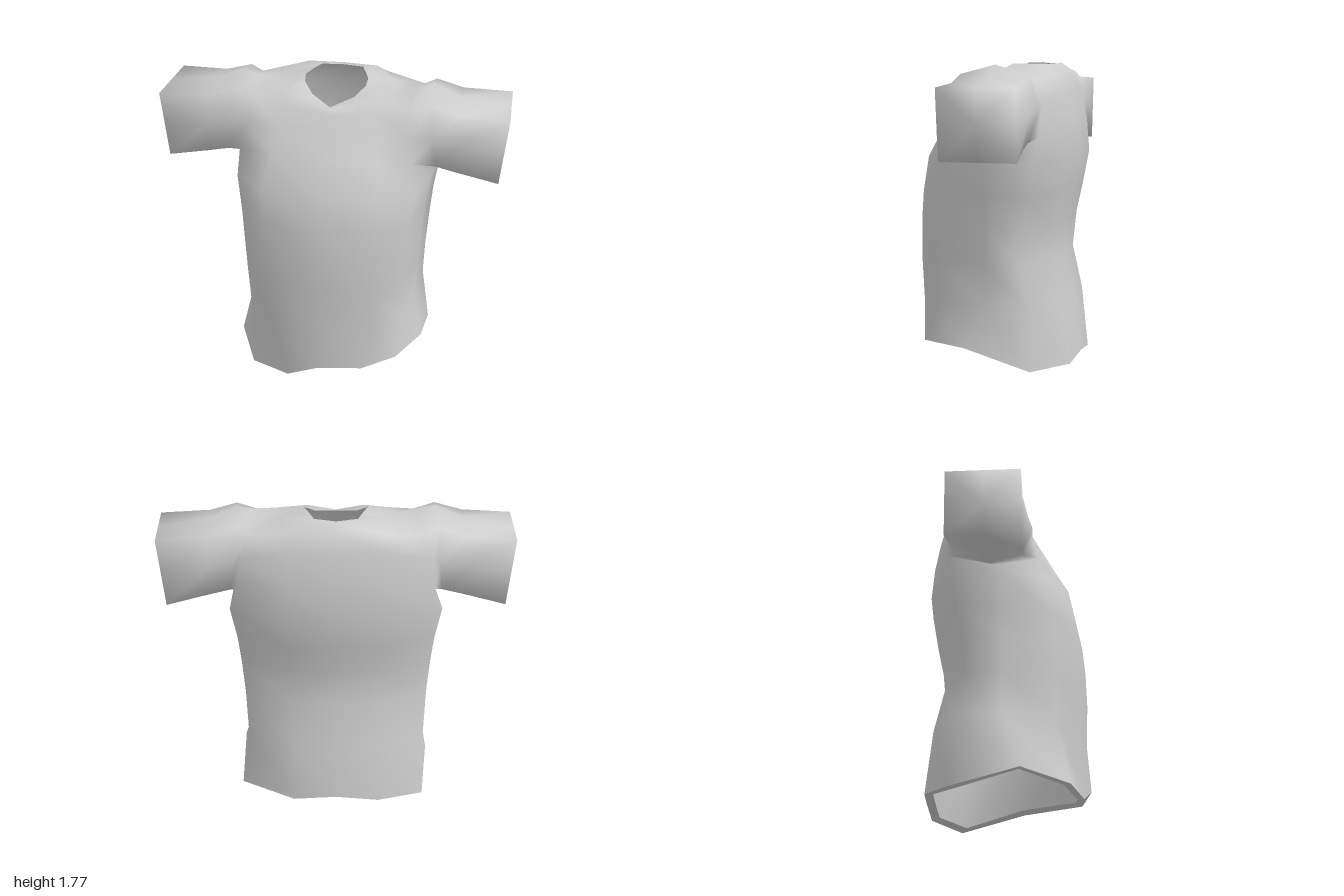
import * as THREE from 'three';

const COLUMNS = 12;

// Complete a half ring (front centre to back centre) on the other side.
const mirrorRing = (half) => [
  ...half,
  ...half.slice(1, -1).reverse().map(([x, y, z]) => [-x, y, z]),
];

// Torso cross-section from height, half width, front z and back z.
const section = ([y, w, f, b]) => mirrorRing([
  [0, y, f], [0.58 * w, y, f - 0.045], [0.87 * w, y, f - 0.18], [0.96 * w, y, -0.03],
  [w, y, b + 0.14], [0.48 * w, y, b + 0.01], [0, y, b],
]);

// Triangles joining two closed loops of vertex numbers, except the skipped columns.
function bridge(index, lower, upper, skip = []) {
  lower.forEach((a, j) => {
    if (skip.includes(j)) return;
    const k = (j + 1) % lower.length;
    index.push(a, lower[k], upper[j], lower[k], upper[k], upper[j]);
  });
}

// Sleeve cross-section: eight points, square when corner is 1, rounder when less.
function sleeveRing({ top, bottom, yTop, yLow, front, back, corner: c }, side) {
  const yc = (yTop + yLow) / 2, h = (yTop - yLow) / 2;
  const zc = (front + back) / 2, d = (front - back) / 2;
  return [[1, 0], [c, c], [0, 1], [-c, c], [-1, 0], [-c, -c], [0, -1], [c, -c]].map(([v, u]) => [
    side * (THREE.MathUtils.lerp(bottom, top, (v + 1) / 2) + (u - 1) * 0.008),
    yc + v * h,
    zc + u * d,
  ]);
}

function makeMesh(points, index, material, name) {
  const geometry = new THREE.BufferGeometry();
  geometry.setAttribute('position', new THREE.Float32BufferAttribute(points.flat(), 3));
  geometry.setIndex(index);
  geometry.computeVertexNormals();
  const mesh = new THREE.Mesh(geometry, material);
  mesh.name = name;
  return mesh;
}

export function createModel() {
  const model = new THREE.Group();
  model.name = 'shirt';
  const cloth = new THREE.MeshStandardMaterial({ color: 0xcccccc, side: THREE.DoubleSide });
  cloth.name = 'light grey cloth';

  // Uneven hem, running from the front round the left side and back
  const hem = [
    [0, 0.14, 0.47], [0.25, 0.14, 0.425], [0.44, 0.19, 0.34], [0.56, 0.19, 0.08],
    [0.56, 0.08, -0.3], [0.25, 0.06, -0.46], [0, 0.08, -0.47], [-0.25, 0.05, -0.46],
    [-0.52, 0.0, -0.31], [-0.565, 0.09, 0.07], [-0.43, 0.04, 0.34], [-0.2, 0.03, 0.42],
  ];

  // Torso body
  const body = [
    [0.42, 0.515, 0.45, -0.43],
    [0.67, 0.53, 0.46, -0.37],
    [0.88, 0.545, 0.455, -0.39],
    [1.05, 0.56, 0.44, -0.425],
    [1.25, 0.595, 0.4, -0.46],
  ].map(section);

  // Chest, shoulders and neck opening; the first three rings frame the armholes
  const shoulders = [
    [[0, 1.44, 0.28], [0.3, 1.43, 0.27], [0.48, 1.4, 0.18], [0.58, 1.305, -0.08],
      [0.55, 1.38, -0.34], [0.28, 1.44, -0.435], [0, 1.44, -0.44]],
    [[0, 1.57, 0.195], [0.3, 1.57, 0.18], [0.47, 1.55, 0.15], [0.52, 1.56, -0.08],
      [0.53, 1.57, -0.355], [0.27, 1.62, -0.405], [0, 1.62, -0.415]],
    [[0, 1.64, 0.15], [0.25, 1.67, 0.125], [0.44, 1.69, 0.08], [0.46, 1.755, -0.08],
      [0.48, 1.69, -0.29], [0.25, 1.72, -0.36], [0, 1.72, -0.365]],
    [[0, 1.67, 0.12], [0.16, 1.71, 0.09], [0.28, 1.72, 0.03], [0.35, 1.735, -0.08],
      [0.32, 1.735, -0.2], [0.2, 1.775, -0.295], [0, 1.77, -0.32]],
    [[0, 1.67, 0.1], [0.12, 1.705, 0.015], [0.175, 1.75, -0.05], [0.18, 1.775, -0.1],
      [0.15, 1.775, -0.19], [0.12, 1.77, -0.275], [0, 1.765, -0.3]],
  ].map(mirrorRing);

  const torso = [hem, ...body, ...shoulders];
  const points = torso.flat();
  const index = [];
  const row = (i) => Array.from({ length: COLUMNS }, (_, j) => i * COLUMNS + j);
  for (let i = 0; i < torso.length - 1; i++) {
    const armhole = i === 6 || i === 7;
    bridge(index, row(i), row(i + 1), armhole ? [2, 3, 8, 9] : []);
  }

  // Short sleeves grown from the armholes and closed at the ends
  const profile = [
    { top: 0.56, bottom: 0.61, yTop: 1.775, yLow: 1.305, front: 0.15, back: -0.35, corner: 0.78 },
    { top: 0.72, bottom: 0.72, yTop: 1.71, yLow: 1.3, front: 0.13, back: -0.335, corner: 0.85 },
    { top: 1.0, bottom: 0.96, yTop: 1.665, yLow: 1.28, front: 0.09, back: -0.33, corner: 1 },
  ];
  const armholeEdge = [[8, 3], [8, 2], [7, 2], [6, 2], [6, 3], [6, 4], [7, 4], [8, 4]];
  for (const side of [1, -1]) {
    const ordered = (loop) => (side > 0 ? loop : loop.reverse());
    let previous = ordered(armholeEdge.map(([r, c]) => r * COLUMNS + (side > 0 ? c : COLUMNS - c)));
    for (const p of profile) {
      const start = points.length;
      points.push(...ordered(sleeveRing(p, side)));
      const loop = previous.map((_, j) => start + j);
      bridge(index, previous, loop);
      previous = loop;
    }
    const centre = points.length;
    points.push([side * 0.972, 1.4725, -0.12]);
    previous.forEach((a, j) => index.push(a, previous[(j + 1) % previous.length], centre));
  }
  model.add(makeMesh(points, index, cloth, 'torsoAndSleeves'));

  // Turned-in lip under the hem
  const lip = hem.map(([x, y, z]) => [x * 0.88, y + 0.01, z * 0.9]);
  const lipIndex = [];
  bridge(lipIndex, row(0), row(1));
  model.add(makeMesh([...lip, ...hem], lipIndex, cloth, 'hemLip'));
  return model;
}
